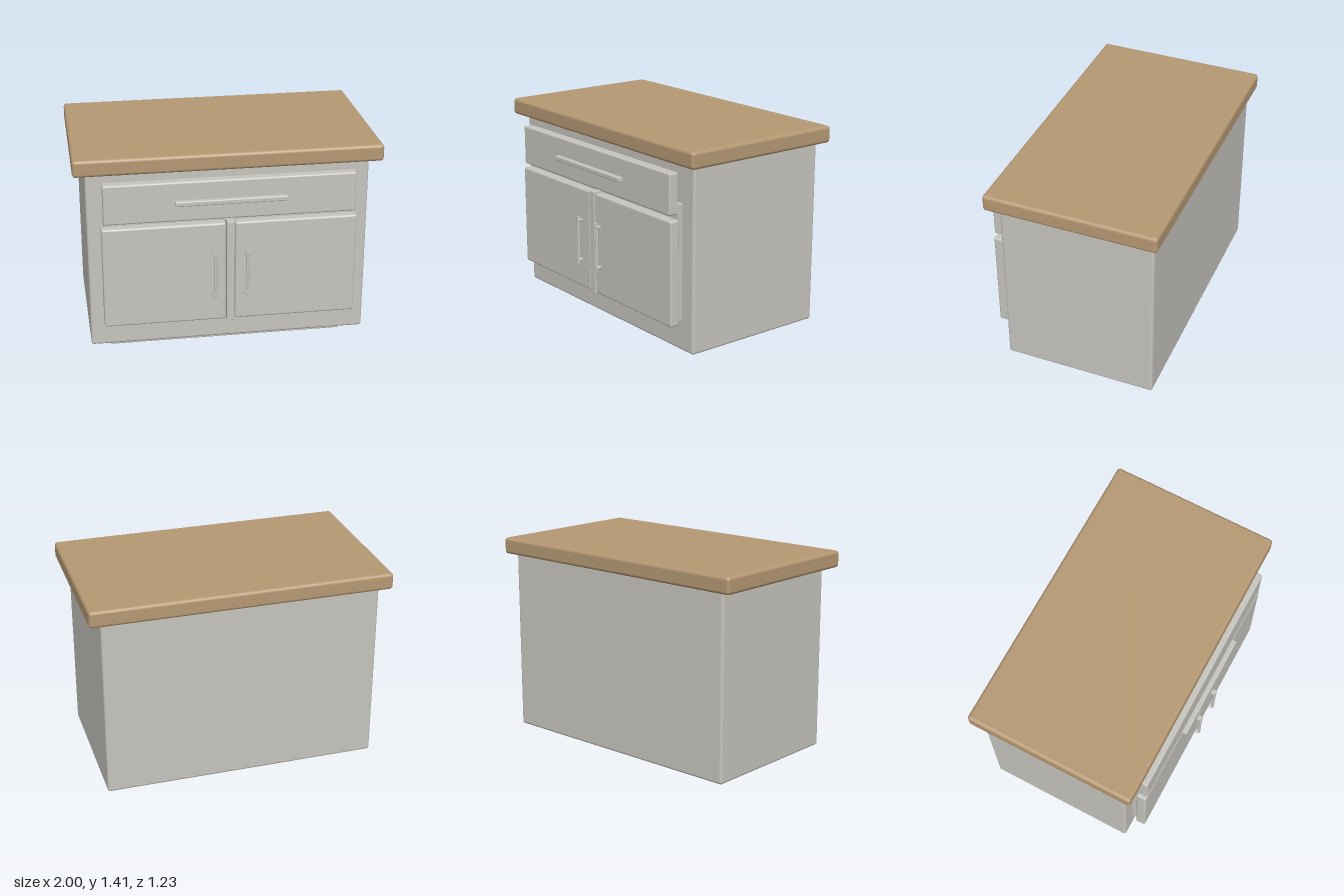
import * as THREE from 'three';
import { RoundedBoxGeometry } from 'three/addons/geometries/RoundedBoxGeometry.js';

export function createModel() {
  const group = new THREE.Group();
  group.name = 'kitchenCabinet';
  const paint = new THREE.MeshStandardMaterial({ color: 0xc6c4be });
  paint.name = 'grey paint';
  const wood = new THREE.MeshStandardMaterial({ color: 0xb59873 });
  wood.name = 'worktop wood';

  // Rounded box given by its extents on each axis
  function box(name, [x0, x1], [y0, y1], [z0, z1], radius, material = paint) {
    const geometry = new RoundedBoxGeometry(x1 - x0, y1 - y0, z1 - z0, 3, radius);
    const mesh = new THREE.Mesh(geometry, material);
    mesh.position.set((x0 + x1) / 2, (y0 + y1) / 2, (z0 + z1) / 2);
    mesh.name = name;
    group.add(mesh);
    return mesh;
  }

  // Carcass, plinth and worktop
  box('worktop', [-1, 1], [1.295, 1.407], [-0.616, 0.534], 0.022, wood);
  box('body', [-0.922, 0.922], [0.065, 1.3], [-0.571, 0.459], 0.018);
  box('plinth', [-0.79, 0.785], [0, 0.09], [-0.435, 0.353], 0.008);
  box('frontPanel', [-0.815, 0.813], [0.267, 1.038], [0.44, 0.497], 0.003);

  // Drawer, doors and the post between them
  box('drawer', [-0.819, 0.815], [0.974, 1.243], [0.494, 0.564], 0.012);
  box('rightDoor', [-0.835, -0.032], [0.248, 0.943], [0.494, 0.564], 0.014);
  box('leftDoor', [0.027, 0.83], [0.248, 0.943], [0.494, 0.564], 0.014);
  box('centrePost', [-0.028, 0.023], [0.24, 0.951], [0.492, 0.568], 0.004);

  // Drawer pull
  box('drawerHandle', [-0.365, 0.36], [1.093, 1.127], [0.574, 0.611], 0.008);

  // Upright door handles, each a bar on two short mounts
  for (const [side, x] of [['right', -0.108], ['left', 0.102]]) {
    const bar = new THREE.Mesh(new THREE.CylinderGeometry(0.011, 0.011, 0.332, 16), paint);
    bar.position.set(x, 0.595, 0.605);
    bar.name = side + 'DoorHandle';
    group.add(bar);
    for (const y of [0.735, 0.456]) {
      box(side + 'HandleMount', [x - 0.018, x + 0.018], [y - 0.012, y + 0.012], [0.578, 0.614], 0.008);
    }
  }
  return group;
}
